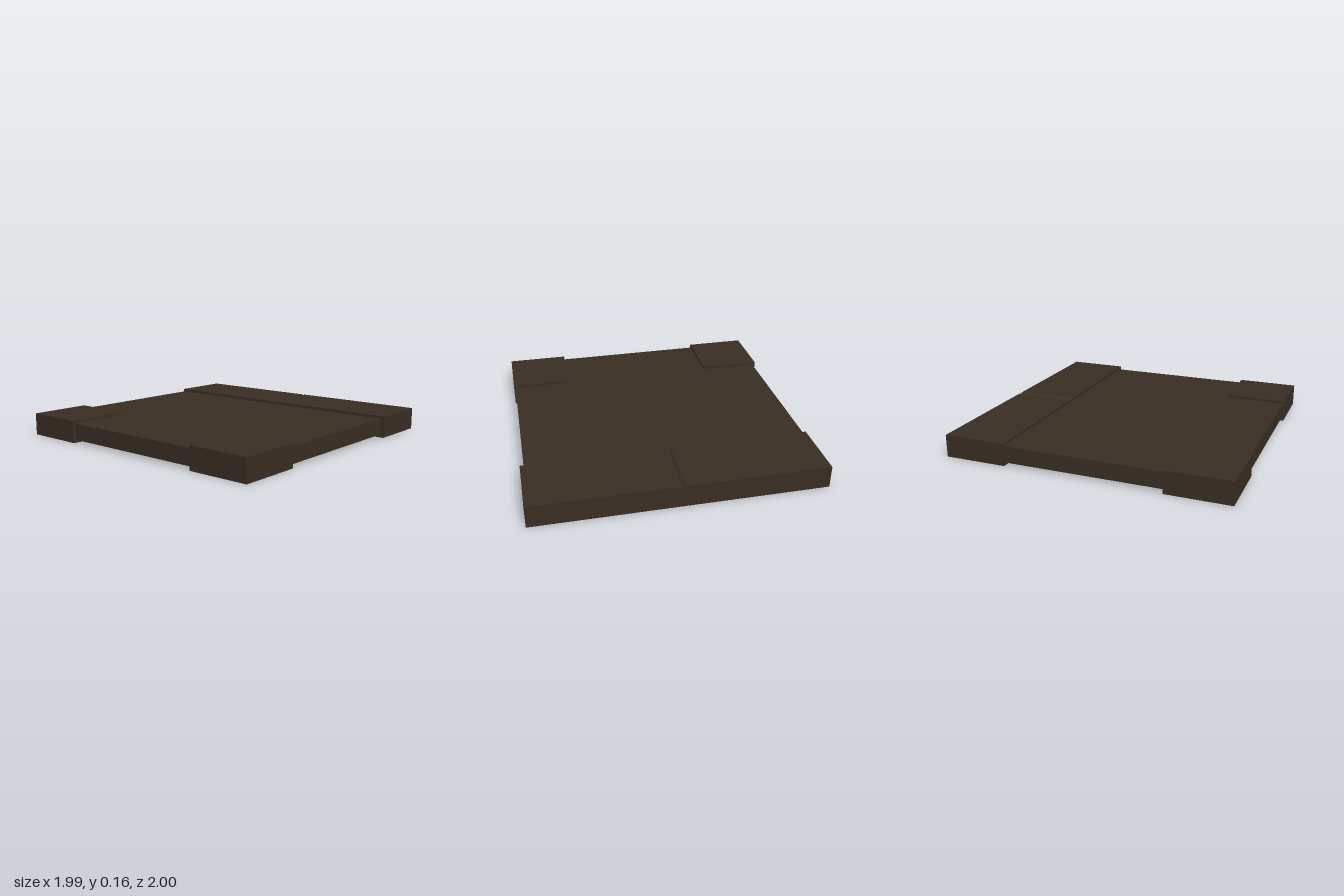
import * as THREE from 'three';

const darkBrown = new THREE.MeshStandardMaterial({ color: 0x382d23 });
darkBrown.name = 'darkBrown';

// Box given by its limits on each axis
function block(name, [x0, x1], [y0, y1], [z0, z1]) {
  const mesh = new THREE.Mesh(new THREE.BoxGeometry(x1 - x0, y1 - y0, z1 - z0), darkBrown);
  mesh.position.set((x0 + x1) / 2, (y0 + y1) / 2, (z0 + z1) / 2);
  mesh.name = name;
  return mesh;
}

export function createModel() {
  const group = new THREE.Group();
  group.name = 'floorPlate';
  const top = 0.157;

  // Thin main slab, held slightly inside the thicker edge pieces
  group.add(block('slab', [-0.98, 0.98], [0.022, 0.137], [-0.98, 0.975]));

  // Two square corner pads on the model's right
  group.add(block('backCornerPad', [-0.995, -0.553], [0, top], [-1, -0.56]));
  group.add(block('frontCornerPad', [-0.995, -0.553], [0, top], [0.547, 0.987]));

  // Long edge strip with a shallow V groove across its top
  const profile = new THREE.Shape([
    [-0.99, 0], [1, 0], [1, top], [0.014, top], [0, top - 0.012], [-0.014, top], [-0.99, top],
  ].map(([z, y]) => new THREE.Vector2(z, y)));
  const stripGeometry = new THREE.ExtrudeGeometry(profile, { depth: 0.442, bevelEnabled: false });
  stripGeometry.rotateY(-Math.PI / 2).translate(0.995, 0, 0);
  const strip = new THREE.Mesh(stripGeometry, darkBrown);
  strip.name = 'edgeStrip';
  group.add(strip);

  return group;
}
